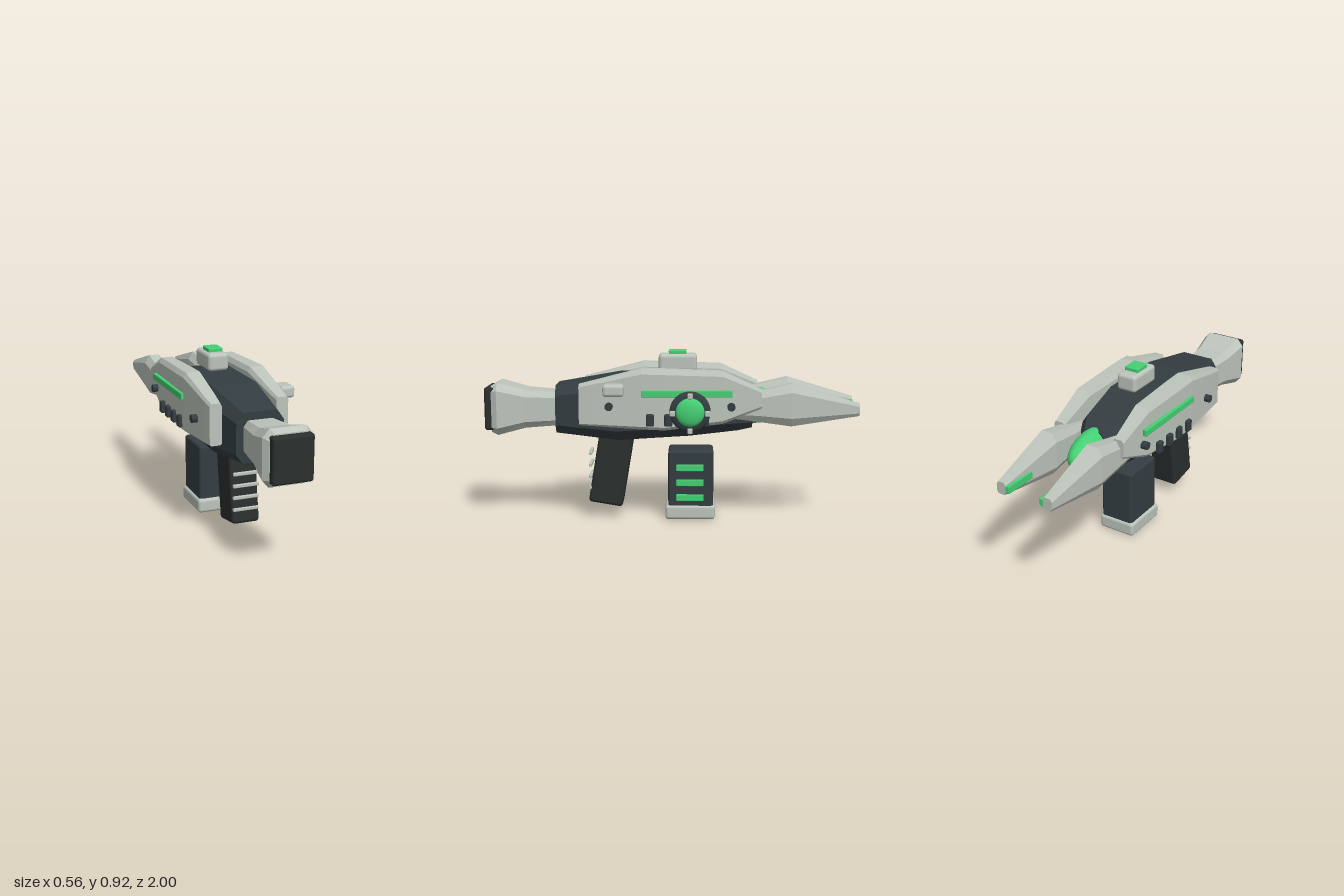
import * as THREE from 'three';
import { RoundedBoxGeometry } from 'three/addons/geometries/RoundedBoxGeometry.js';

const CX = -0.032; // centre line of the main body

const paint = (color, flatShading = false) => new THREE.MeshStandardMaterial({ color, flatShading });
const light = paint(0xbcc4bb), lightFlat = paint(0xbcc4bb, true);
const dark = paint(0x343d41), darkFlat = paint(0x343d41, true);
const black = paint(0x2a2f2e), green = paint(0x45d074);

// Loft of chamfered sections, listed front to back:
// [z, centre x, half width, top, bottom, chamfer x, top chamfer y, bottom chamfer y]
function loft(sections) {
  const rings = sections.map(([z, x, w, t, b, c, ct, cb]) => [
    [x + w - c, b], [x + w, b + cb], [x + w, t - ct], [x + w - c, t],
    [x - w + c, t], [x - w, t - ct], [x - w, b + cb], [x - w + c, b],
  ].map(([px, py]) => [px, py, z]));
  const pos = [];
  const tri = (...p) => p.forEach((v) => pos.push(...v));
  for (let s = 0; s < rings.length - 1; s++) {
    const f = rings[s], k = rings[s + 1];
    for (let i = 0; i < 8; i++) {
      const j = (i + 1) % 8;
      tri(f[i], k[i], k[j]);
      tri(f[i], k[j], f[j]);
    }
  }
  const front = rings[0], back = rings[rings.length - 1];
  for (let i = 1; i < 7; i++) {
    tri(front[0], front[i], front[i + 1]);
    tri(back[0], back[i + 1], back[i]);
  }
  const g = new THREE.BufferGeometry();
  g.setAttribute('position', new THREE.Float32BufferAttribute(pos, 3));
  g.computeVertexNormals();
  return g;
}

export function createModel() {
  const model = new THREE.Group();
  const add = (name, geo, mat, x = 0, y = 0, z = 0) => {
    const m = new THREE.Mesh(geo, mat);
    m.name = name;
    m.position.set(x, y, z);
    model.add(m);
    return m;
  };
  const block = (name, mat, x, y, z, w, h, d, r = 0.01) =>
    add(name, new RoundedBoxGeometry(w, h, d, 3, r), mat, x, y, z);
  const ellipsoid = (name, mat, x, y, z, rx, ry, rz) => {
    const m = add(name, new THREE.SphereGeometry(1, 32, 20), mat, x, y, z);
    m.scale.set(rx, ry, rz);
    return m;
  };

  // Main body
  add('body', loft([
    [0.615, CX, 0.125, 0.735, 0.48, 0.035, 0.05, 0.045],
    [0.28, CX, 0.17, 0.79, 0.445, 0.05, 0.07, 0.055],
    [-0.1, CX, 0.17, 0.79, 0.47, 0.05, 0.07, 0.055],
    [-0.36, CX, 0.13, 0.74, 0.495, 0.04, 0.06, 0.045],
    [-0.44, CX, 0.075, 0.71, 0.505, 0.025, 0.04, 0.03],
  ]), darkFlat);

  // Flared barrel and muzzle block
  add('barrel', loft([
    [0.965, CX, 0.105, 0.73, 0.48, 0.025, 0.03, 0.03],
    [0.93, CX, 0.127, 0.748, 0.465, 0.035, 0.04, 0.04],
    [0.78, CX, 0.105, 0.708, 0.503, 0.028, 0.035, 0.035],
    [0.6, CX, 0.085, 0.695, 0.515, 0.022, 0.03, 0.03],
  ]), lightFlat);
  block('muzzle', black, CX + 0.002, 0.608, 0.97, 0.21, 0.232, 0.06, 0.015);

  // Energy core at the rear
  ellipsoid('rearCore', green, CX, 0.62, -0.43, 0.077, 0.1, 0.205);

  // Mirrored side plates, prongs and their fittings
  for (const s of [-1, 1]) {
    const p = CX + s * 0.178, out = CX + s * 0.23;
    const side = s > 0 ? 'left' : 'right';
    add(side + 'Plate', loft([
      [0.48, p, 0.032, 0.755, 0.54, 0.008, 0.015, 0.008],
      [0.41, p, 0.038, 0.772, 0.536, 0.009, 0.016, 0.01],
      [0.15, p, 0.052, 0.838, 0.52, 0.015, 0.026, 0.016],
      [0.03, p, 0.052, 0.835, 0.515, 0.015, 0.026, 0.016],
      [-0.275, p, 0.045, 0.825, 0.55, 0.014, 0.025, 0.016],
      [-0.48, p, 0.03, 0.73, 0.63, 0.008, 0.015, 0.012],
    ]), lightFlat);

    const q = CX + s * 0.135;
    add(side + 'Prong', loft([
      [-0.34, CX + s * 0.145, 0.04, 0.69, 0.57, 0.015, 0.025, 0.025],
      [-0.46, CX + s * 0.14, 0.05, 0.715, 0.555, 0.022, 0.035, 0.035],
      [-0.64, q, 0.058, 0.757, 0.53, 0.028, 0.045, 0.045],
      [-1, q, 0.026, 0.65, 0.585, 0.009, 0.015, 0.015],
    ]), lightFlat);
    block(side + 'ProngLight', green, CX + s * 0.1, 0.617, -0.91, 0.022, 0.04, 0.18, 0.004);

    block(side + 'PlateLight', green, out + s * 0.003, 0.712, -0.087, 0.022, 0.036, 0.475, 0.004);
    for (const z of [0.32, -0.32]) {
      const bolt = add(side + 'Bolt', new THREE.CylinderGeometry(0.021, 0.021, 0.045, 20), dark, out - s * 0.002, 0.643, z);
      bolt.rotation.z = Math.PI / 2;
    }
    for (let i = 0; i < 4; i++)
      block(side + 'Vent', dark, out + s * 0.005, 0.572, 0.105 - i * 0.096, 0.03, 0.064, 0.042, 0.008);
  }

  // Dial on the left plate, with four studs around it
  ellipsoid('dialRim', dark, 0.215, 0.62, -0.105, 0.028, 0.107, 0.107);
  ellipsoid('dialDome', green, 0.242, 0.62, -0.105, 0.027, 0.075, 0.075);
  for (let i = 0; i < 4; i++) {
    const a = (i * Math.PI) / 2;
    block('dialStud', light, 0.264, 0.617 + 0.091 * Math.sin(a), -0.105 + 0.091 * Math.cos(a), 0.027, 0.027, 0.027, 0.004);
  }
  block('sideKnob', light, 0.24, 0.735, 0.292, 0.08, 0.064, 0.11, 0.018);

  // Sight on top
  block('sight', light, CX, 0.853, -0.038, 0.115, 0.094, 0.205, 0.02);
  block('sightLight', green, CX + 0.002, 0.9, -0.037, 0.08, 0.04, 0.095, 0.006);

  // Grip, leaning forward at the foot, with ribs
  block('grip', black, CX + 0.002, 0.285, 0.322, 0.15, 0.42, 0.187, 0.018).rotation.x = -0.165;
  for (let i = 0; i < 4; i++)
    block('gripRib', light, CX + 0.002, 0.36 - i * 0.064, 0.436, 0.14, 0.018, 0.016, 0.004);

  // Magazine with base and light bars
  block('magazine', dark, CX + 0.002, 0.21, -0.11, 0.19, 0.345, 0.245, 0.015);
  block('magazineBase', light, CX, 0.041, -0.107, 0.21, 0.08, 0.27, 0.018);
  for (let i = 0; i < 3; i++)
    block('magazineLight', green, 0.066, 0.29 - i * 0.083, -0.105, 0.025, 0.036, 0.148, 0.004);

  return model;
}
